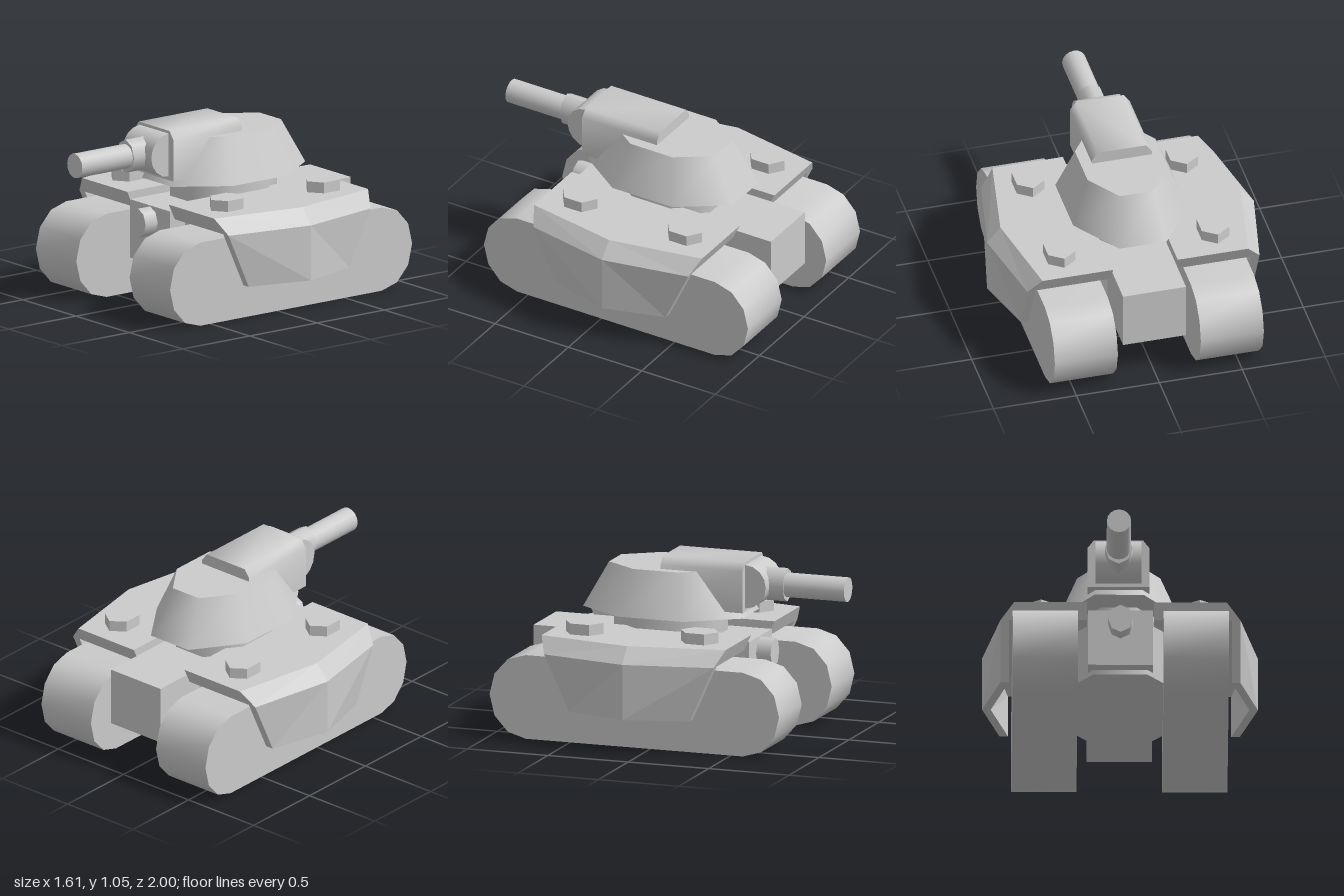
import * as THREE from 'three';
import { toCreasedNormals } from 'three/addons/utils/BufferGeometryUtils.js';

const material = new THREE.MeshStandardMaterial({ color: 0xcccccc });

function add(parent, name, geometry, x = 0, y = 0, z = 0) {
  const mesh = new THREE.Mesh(geometry, material);
  mesh.name = name;
  mesh.position.set(x, y, z);
  parent.add(mesh);
  return mesh;
}

// Upright octagonal drum with flats facing the axes; rx and rz are half widths of the bottom
function octagon(rx, rz, height, taper = 1) {
  const k = 1 / Math.cos(Math.PI / 8);
  return new THREE.CylinderGeometry(k * taper, k, height, 8)
    .rotateY(Math.PI / 8).scale(rx, 1, rz);
}

// Rod along z, oval in section
function rod(rx, ry, length, sides) {
  return new THREE.CylinderGeometry(1, 1, length, sides)
    .rotateX(Math.PI / 2).scale(rx, ry, 1);
}

// Extrusion of an outline, centred along its depth
function slab(points, depth) {
  const shape = new THREE.Shape(points.map(([x, y]) => new THREE.Vector2(x, y)));
  const g = new THREE.ExtrudeGeometry(shape, { depth, bevelEnabled: false });
  return toCreasedNormals(g.translate(0, 0, -depth / 2), 1.1);
}

// Rounded track outline in z and y
function trackGeometry() {
  const points = [];
  for (const [centre, start] of [[0.575, -90], [-0.775, 90]]) {
    for (let i = 0; i <= 6; i++) {
      const a = THREE.MathUtils.degToRad(start + i * 30);
      points.push([centre + 0.225 * Math.cos(a), 0.25 + 0.25 * Math.sin(a)]);
    }
  }
  return slab(points, 0.38).rotateY(-Math.PI / 2);
}

// Fender with a hanging skirt: three cross-sections from front to rear
function fenderGeometry(side) {
  const section = (w, zTop, zEdge, zLow) => [
    [0.195, 0.625, zTop], [0.62 + w, 0.625, zTop], [0.7 + w, 0.53, zEdge],
    [0.7 + w, 0.2, zLow], [0.65 + w, 0.2, zLow], [0.65 + w, 0.53, zEdge],
    [0.195, 0.53, zEdge],
  ];
  const rings = [
    section(0, 0.465, 0.42, 0.27),
    section(0.104, -0.11, -0.11, -0.11),
    section(0, -0.68, -0.635, -0.48),
  ];
  const positions = [];
  const tri = (a, b, c) => {
    for (const p of side > 0 ? [a, b, c] : [a, c, b]) positions.push(p[0] * side, p[1], p[2]);
  };
  for (let s = 0; s < 2; s++) {
    const A = rings[s], B = rings[s + 1];
    for (let i = 0; i < 7; i++) {
      const j = (i + 1) % 7;
      tri(A[i], A[j], B[j]);
      tri(A[i], B[j], B[i]);
    }
  }
  for (const [a, b, c] of [[0, 1, 6], [1, 5, 6], [1, 2, 5], [2, 3, 5], [3, 4, 5]]) {
    tri(rings[0][a], rings[0][c], rings[0][b]);
    tri(rings[2][a], rings[2][b], rings[2][c]);
  }
  const g = new THREE.BufferGeometry();
  g.setAttribute('position', new THREE.Float32BufferAttribute(positions, 3));
  g.computeVertexNormals();
  return g;
}

export function createModel() {
  const model = new THREE.Group();
  model.name = 'tank';

  // Hull
  const hull = new THREE.Group();
  hull.name = 'hull';
  model.add(hull);
  add(hull, 'hullSpine', new THREE.BoxGeometry(0.38, 0.35, 1.34), 0, 0.405, -0.22);
  add(hull, 'hullBase', octagon(0.38, 0.48, 0.33), 0, 0.365, -0.1);
  add(hull, 'frontKnob', rod(0.073, 0.087, 0.14, 8), 0, 0.487, 0.47);

  // Tracks, fenders and the bolts on top
  const bolt = toCreasedNormals(
    new THREE.CylinderGeometry(0.117, 0.117, 0.08, 6).scale(0.82, 1, 1), 0.8);
  for (const side of [1, -1]) {
    const label = side > 0 ? 'left' : 'right';
    add(model, label + 'Track', trackGeometry(), side * 0.44, 0, 0);
    add(model, label + 'Fender', fenderGeometry(side));
    add(model, label + 'FrontBolt', bolt, side * 0.463, 0.65, 0.245);
    add(model, label + 'RearBolt', bolt, side * 0.463, 0.65, -0.47);
  }

  // Turret
  const turret = new THREE.Group();
  turret.name = 'turret';
  turret.position.set(-0.008, 0, -0.103);
  model.add(turret);
  add(turret, 'turretRing', octagon(0.25, 0.317, 0.22), 0, 0.61, 0);
  add(turret, 'turretBody', octagon(0.345, 0.494, 0.268, 0.704), 0, 0.842, 0);

  // Gun
  const gun = new THREE.Group();
  gun.name = 'gun';
  gun.position.set(-0.012, 0.9, 0);
  model.add(gun);
  add(gun, 'gunHousing', slab([
    [-0.18, -0.15], [0.18, -0.15], [0.18, 0.1], [0.145, 0.147], [-0.145, 0.147], [-0.18, 0.1],
  ], 0.51), 0, 0, 0.155);
  add(gun, 'mantlet',
    new THREE.CylinderGeometry(0.13, 0.13, 0.27, 16).rotateZ(Math.PI / 2), 0, 0, 0.408);
  add(gun, 'barrelCollar', rod(0.08, 0.1, 0.2, 8), 0, 0, 0.523);
  add(gun, 'barrel', rod(0.071, 0.073, 0.45, 16), 0, 0, 0.775);

  return model;
}
